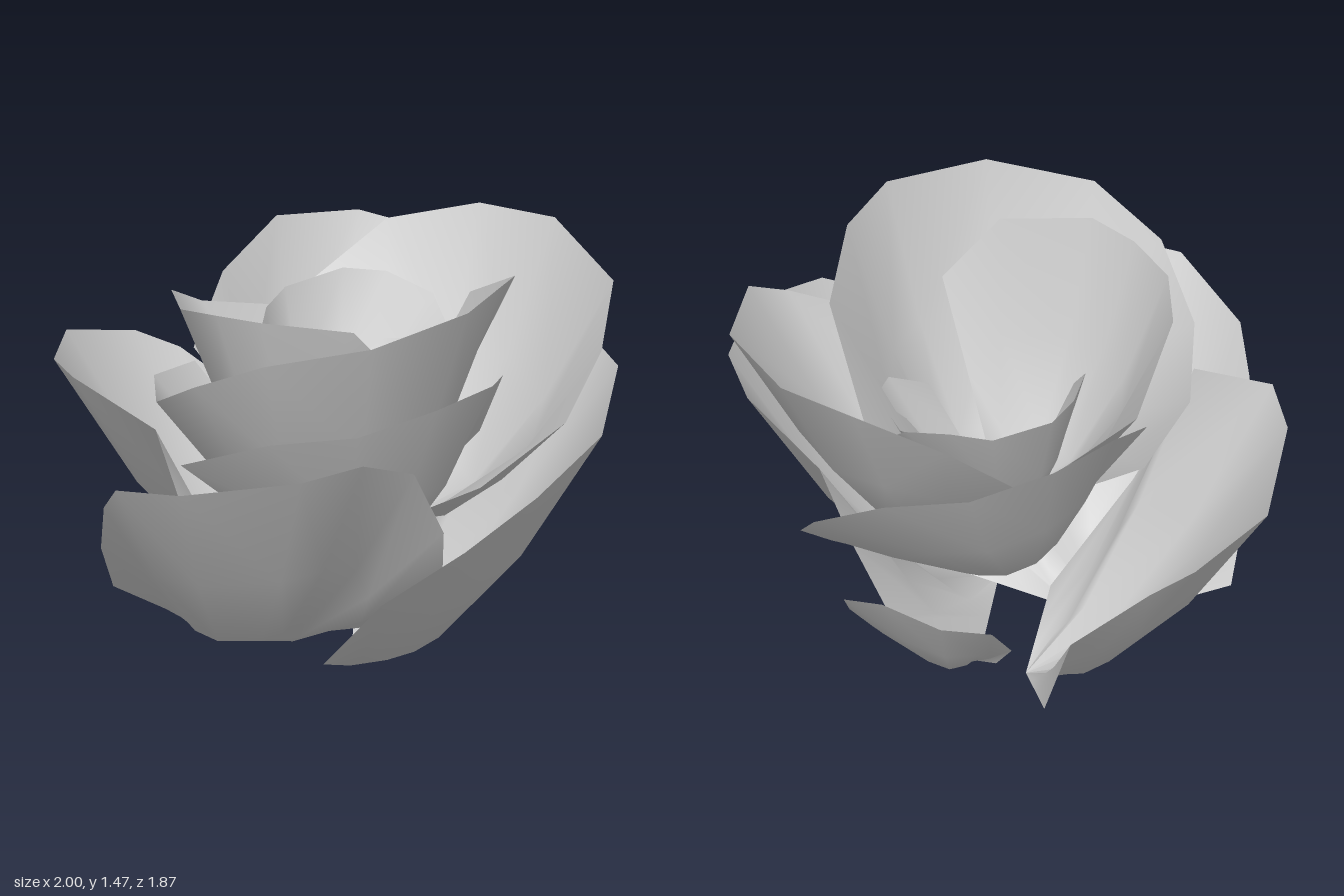
import * as THREE from 'three';

// Rows of a petal from foot to rim: [distance along the spoke, share of the sag]
const ROWS = [[0, 0], [0.24, 1], [0.58, 0.87], [1, 0]];
const material = new THREE.MeshStandardMaterial({ color: 0xcccccc, side: THREE.DoubleSide });

// A cupped petal: spokes run from the foot to each rim point and sag outwards.
function petal(name, foot, rim, bulge = 0.105) {
  const base = new THREE.Vector3(...foot);
  const up = new THREE.Vector3(0, 1, 0);
  const pos = [];
  const index = [];
  rim.forEach((point, i) => {
    const spoke = new THREE.Vector3(...point).sub(base);
    const flat = new THREE.Vector3(spoke.x, 0, spoke.z);
    const run = flat.length();
    // outward direction at right angles to the spoke
    const out = flat.normalize().multiplyScalar(spoke.y).addScaledVector(up, -run).normalize();
    const taper = Math.sqrt(Math.max(0, Math.sin(Math.PI * i / (rim.length - 1))));
    const sag = bulge * spoke.length() * taper;
    for (const [t, share] of ROWS) {
      const p = base.clone().addScaledVector(spoke, t).addScaledVector(out, share * sag);
      pos.push(p.x, Math.max(0, p.y), p.z);
    }
  });
  const n = ROWS.length;
  for (let i = 0; i < rim.length - 1; i++) {
    for (let r = 0; r < n - 1; r++) {
      const a = i * n + r;
      const b = a + n;
      if (r > 0) index.push(a, b, a + 1);
      index.push(b, b + 1, a + 1);
    }
  }
  const geometry = new THREE.BufferGeometry();
  geometry.setAttribute('position', new THREE.Float32BufferAttribute(pos, 3));
  geometry.setIndex(index);
  geometry.computeVertexNormals();
  const mesh = new THREE.Mesh(geometry, material);
  mesh.name = name;
  return mesh;
}

function layer(name, ...petals) {
  const group = new THREE.Group();
  group.name = name;
  group.add(...petals);
  return group;
}

export function createModel() {
  const flower = new THREE.Group();
  flower.name = 'flower';

  // Low, wide petals that carry the bloom
  flower.add(layer('outerPetals',
    petal('frontOuterPetal', [-0.3, 0, 0.08], [
      [-0.72, 0.19, 0.15], [-0.72, 0.42, 0.33], [-0.64, 0.72, 0.62], [-0.57, 0.85, 0.74], [-0.3, 0.95, 0.93],
      [0.11, 1.02, 0.88], [0.3, 1.05, 0.76], [0.43, 0.94, 0.56], [0.5, 0.66, 0.42], [0.46, 0.38, 0.28],
      [0.18, 0.1, 0.06]]),
    petal('leftOuterPetal', [0.12, 0.01, 0.2], [
      [0.12, 0.2, 0.59], [0.35, 0.5, 0.7], [0.64, 0.73, 0.69], [0.85, 0.88, 0.52], [1, 0.98, 0.2],
      [0.96, 1.05, -0.2], [0.83, 1.04, -0.4], [0.52, 0.93, -0.57], [0.38, 0.66, -0.62], [0.25, 0.38, -0.61],
      [0.02, 0.1, -0.32]]),
    petal('rightOuterPetal', [-0.13, 0.01, -0.3], [
      [-0.32, 0.19, -0.7], [-0.42, 0.5, -0.72], [-0.68, 0.72, -0.65], [-0.82, 0.8, -0.58], [-1, 0.9, -0.33],
      [-0.95, 0.98, 0.06], [-0.84, 1.01, 0.24], [-0.52, 0.91, 0.37], [-0.42, 0.64, 0.4], [-0.3, 0.38, 0.38],
      [-0.1, 0.1, 0.08]]),
    petal('smallBackPetal', [0.08, 0.13, -0.44], [
      [0.36, 0.2, -0.45], [0.42, 0.34, -0.55], [0.4, 0.48, -0.68], [0.22, 0.6, -0.82], [0, 0.57, -0.86],
      [-0.14, 0.48, -0.72], [-0.16, 0.3, -0.56], [-0.08, 0.17, -0.48]])));

  // Taller cups nested inside
  flower.add(layer('middlePetals',
    petal('backMiddlePetal', [-0.1, 0.42, -0.2], [
      [0.54, 0.475, -0.37], [0.57, 0.7, -0.63], [0.45, 0.93, -0.86], [0.18, 1.11, -0.94], [-0.12, 1.18, -0.91],
      [-0.36, 1.22, -0.72], [-0.47, 1.15, -0.4], [-0.5, 1.0, -0.1]]),
    petal('backLeftMiddlePetal', [0.2, 0.42, -0.1], [
      [-0.26, 1.0, -0.6], [0.02, 1.24, -0.75], [0.34, 1.33, -0.76], [0.62, 1.34, -0.69],
      [0.9, 1.28, -0.38], [0.95, 1.2, 0], [0.88, 1.03, 0.23], [0.63, 0.85, 0.43]]),
    petal('frontLeftMiddlePetal', [0.05, 0.3, 0.12], [
      [-0.4, 0.85, 0.5], [-0.05, 1.05, 0.68], [0.27, 1.13, 0.71], [0.5, 1.17, 0.52],
      [0.65, 1.19, 0.33], [0.63, 1.12, 0.1], [0.5, 0.8, -0.1]]),
    petal('tallFrontPetal', [0.04, 0.4, 0.05], [
      [-0.52, 0.9, -0.2], [-0.59, 0.98, 0.1], [-0.5, 1.05, 0.44], [-0.32, 1.22, 0.64], [-0.06, 1.36, 0.71],
      [0.3, 1.43, 0.63], [0.57, 1.47, 0.36], [0.63, 1.46, 0.1], [0.6, 1.35, -0.2], [0.36, 1.1, -0.54]])));

  // Small petals curled round the heart
  flower.add(layer('innerPetals',
    petal('rightInnerPetal', [0.05, 0.45, 0.02], [
      [0.36, 1.14, 0.32], [0.18, 1.37, 0.4], [-0.13, 1.4, 0.46], [-0.3, 1.38, 0.4],
      [-0.45, 1.34, 0.3], [-0.53, 1.31, 0.1], [-0.5, 1.12, -0.22], [-0.2, 0.97, -0.56]]),
    petal('backInnerPetal', [0.01, 0.48, -0.02], [
      [0.32, 1.0, -0.42], [0.24, 1.1, -0.5], [0.07, 1.15, -0.53], [-0.08, 1.15, -0.52],
      [-0.24, 1.14, -0.35], [-0.27, 1.13, -0.2], [-0.25, 1.1, 0], [-0.17, 0.95, 0.12]]),
    petal('heartPetal', [0.05, 0.5, -0.02], [
      [-0.07, 0.85, -0.3], [0.1, 0.97, -0.38], [0.3, 1.0, -0.37], [0.43, 1.0, -0.2],
      [0.43, 0.98, -0.07], [0.34, 0.85, 0.1]])));

  return flower;
}
